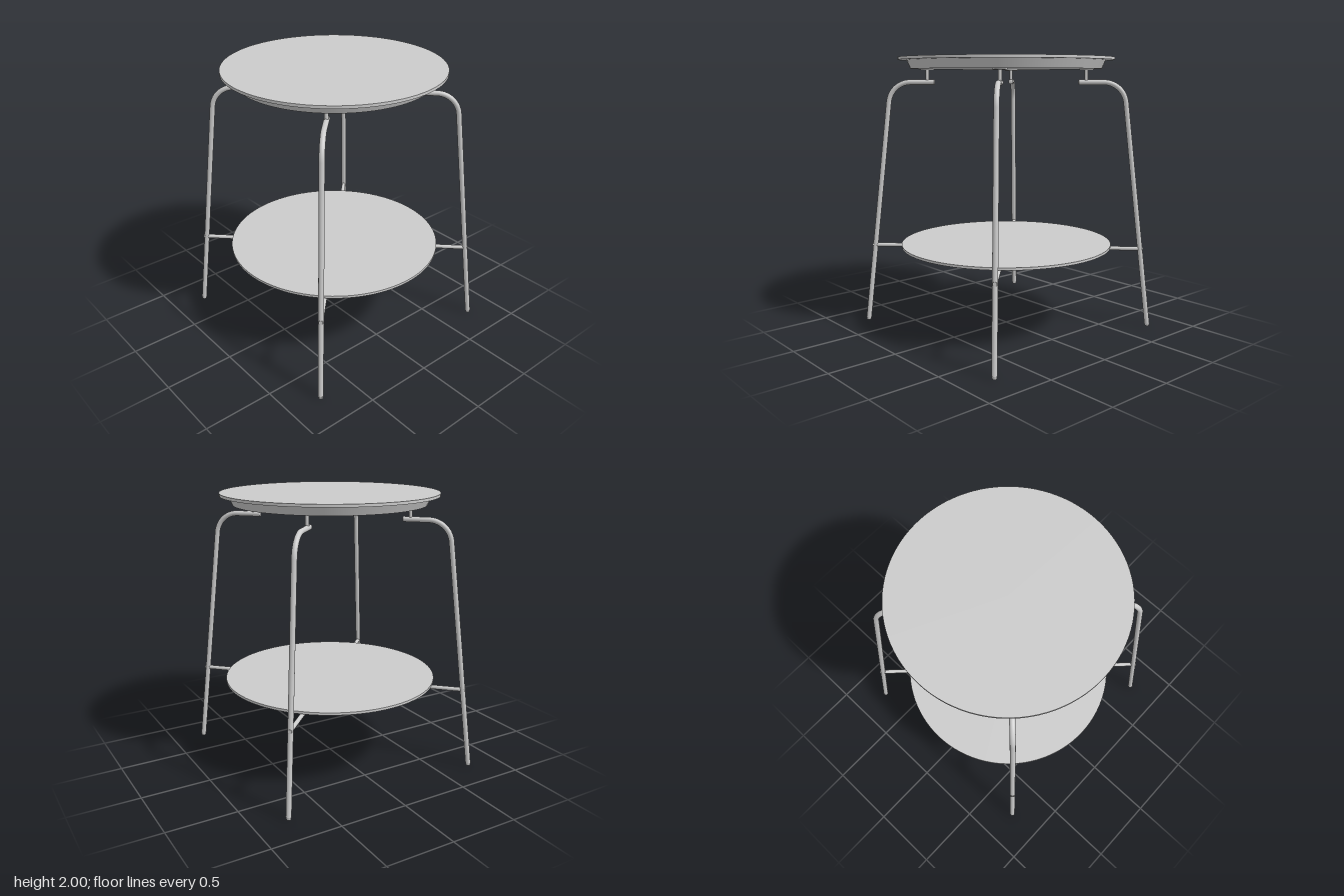
import * as THREE from 'three';

const material = new THREE.MeshStandardMaterial({ color: 0xcccccc });

function part(name, geometry, x = 0, y = 0, z = 0) {
  const mesh = new THREE.Mesh(geometry, material);
  mesh.name = name;
  mesh.position.set(x, y, z);
  return mesh;
}

// Upright cylinder spanning two heights at a given distance from the centre
function disc(name, rTop, rBottom, y0, y1, x = 0, sides = 24) {
  return part(name, new THREE.CylinderGeometry(rTop, rBottom, y1 - y0, sides), x, (y0 + y1) / 2, 0);
}

// Centre line of a leg: inner arm, tangent arc, splayed straight shaft
function legPath(armStart, corner, foot, radius) {
  const inDir = corner.clone().sub(armStart).normalize();
  const outDir = foot.clone().sub(corner).normalize();
  const turn = inDir.angleTo(outDir);
  const reach = radius * Math.tan(turn / 2);
  const bendStart = corner.clone().addScaledVector(inDir, -reach);
  const points = [];
  for (let i = 0; i <= 16; i++) {
    const a = (turn * i) / 16;
    points.push(new THREE.Vector3(
      bendStart.x + radius * Math.sin(a),
      bendStart.y - radius * (1 - Math.cos(a)), 0));
  }
  const path = new THREE.CurvePath();
  path.add(new THREE.LineCurve3(armStart, points[0]));
  path.add(new THREE.CatmullRomCurve3(points));
  path.add(new THREE.LineCurve3(points[16], foot));
  return path;
}

function createLeg() {
  const leg = new THREE.Group();
  leg.name = 'leg';
  const tube = 0.019;
  const start = new THREE.Vector3(0.53, 1.822, 0);
  const foot = new THREE.Vector3(1.068, 0.018, 0);
  const path = legPath(start, new THREE.Vector3(0.853, 1.822, 0), foot, 0.165);
  leg.add(part('legTube', new THREE.TubeGeometry(path, 120, tube, 20, false)));

  // Closed inner end of the arm
  const cap = part('armEnd', new THREE.SphereGeometry(tube, 20, 12), start.x, start.y, 0);
  cap.scale.x = 0.4;
  leg.add(cap);

  // Foot glide
  leg.add(disc('footCap', 0.019, 0.015, 0, 0.02, 1.069));

  // Post and plate joining the arm to the table top
  leg.add(disc('post', 0.013, 0.013, 1.822, 1.918, 0.58, 16));
  leg.add(disc('mountingPlate', 0.05, 0.05, 1.909, 1.918, 0.58));

  // Spacer between crossbar and shelf
  leg.add(disc('shelfSpacer', 0.025, 0.02, 0.605, 0.621, 0.535, 16));
  return leg;
}

export function createModel() {
  const model = new THREE.Group();
  model.name = 'roundSideTable';

  // Round top with a tapered underside
  model.add(disc('tableTop', 0.78, 0.78, 1.98, 2.0, 0, 96));
  model.add(disc('topUnderside', 0.717, 0.69, 1.917, 1.98, 0, 96));

  // Lower shelf
  model.add(disc('shelf', 0.78, 0.78, 0.619, 0.637, 0, 96));

  // Four legs on the diagonals
  for (let i = 0; i < 4; i++) {
    const leg = createLeg();
    leg.rotation.y = Math.PI / 4 + (i * Math.PI) / 2;
    model.add(leg);
  }

  // Two crossed bars under the shelf, running between opposite legs
  for (const side of [1, -1]) {
    const bar = part('crossbar', new THREE.CylinderGeometry(0.015, 0.015, 2.04, 20), 0, 0.595, 0);
    bar.rotation.set(0, (side * Math.PI) / 4, Math.PI / 2);
    model.add(bar);
  }
  return model;
}
